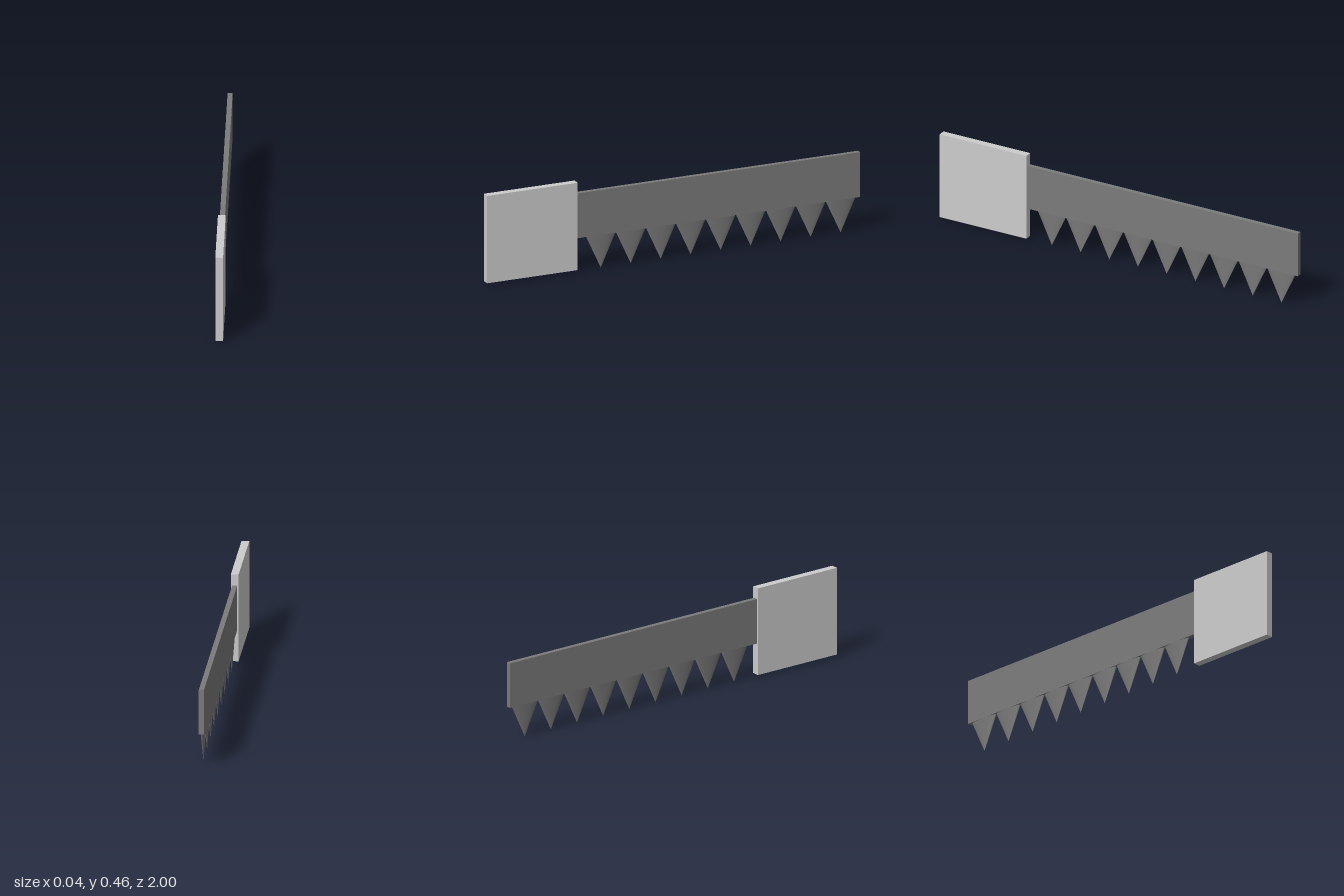
import * as THREE from 'three';

export function createModel() {
  const model = new THREE.Group();
  const lightGrey = new THREE.MeshStandardMaterial({ color: 0xcccccc });
  lightGrey.name = 'handleLightGrey';
  const steelGrey = new THREE.MeshStandardMaterial({ color: 0x7b7b7b });
  steelGrey.name = 'bladeSteelGrey';

  // Box given by its y and z extents, centred on x
  function slab(name, material, width, y0, y1, z0, z1) {
    const mesh = new THREE.Mesh(new THREE.BoxGeometry(width, y1 - y0, z1 - z0), material);
    mesh.name = name;
    mesh.position.set(0, (y0 + y1) / 2, (z0 + z1) / 2);
    model.add(mesh);
  }
  slab('handle', lightGrey, 0.038, 0.011, 0.459, 0.515, 1);
  slab('blade', steelGrey, 0.025, 0.172, 0.402, -1, 0.52);

  // Teeth: flattened cones hanging point-down from the blade
  const toothHeight = 0.172;
  const toothPitch = 0.1605;
  const toothGeometry = new THREE.ConeGeometry(toothPitch / 2, toothHeight, 32);
  toothGeometry.rotateX(Math.PI);
  toothGeometry.scale(0.0125 / (toothPitch / 2), 1, 1);
  const teeth = new THREE.Group();
  teeth.name = 'teeth';
  for (let i = 0; i < 9; i++) {
    const tooth = new THREE.Mesh(toothGeometry, steelGrey);
    tooth.name = `tooth${i + 1}`;
    tooth.position.set(0, toothHeight / 2, 0.383 - i * toothPitch);
    teeth.add(tooth);
  }
  model.add(teeth);
  return model;
}
